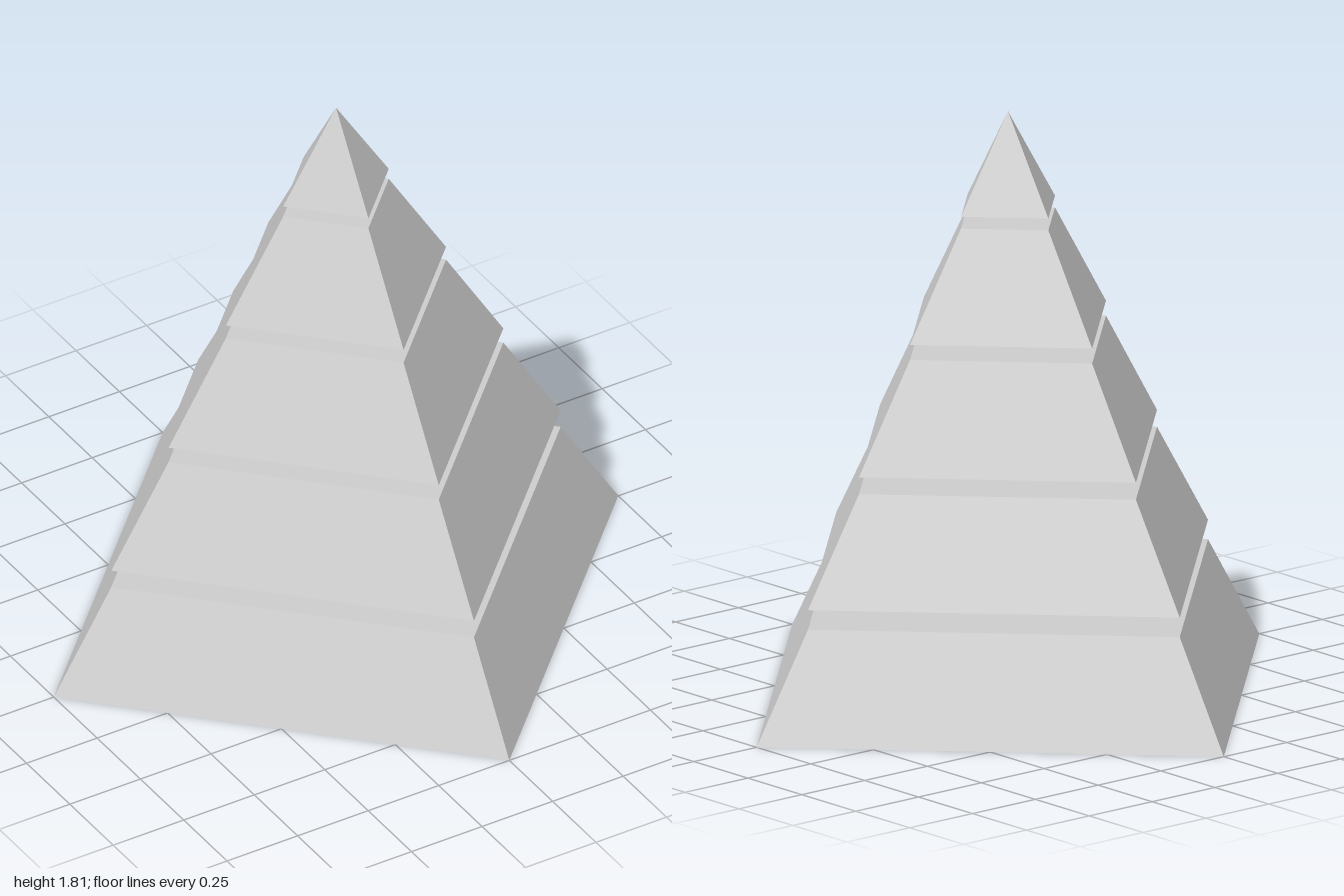
import * as THREE from 'three';

// Four-sided tiers, bottom to top: [name, base y, top y, base radius, top radius]
const TIERS = [
  ['baseTier', 0, 0.332, 1, 0.796],
  ['secondTier', 0.393, 0.72, 0.796, 0.593],
  ['thirdTier', 0.773, 1.104, 0.593, 0.39],
  ['fourthTier', 1.151, 1.479, 0.39, 0.187],
  ['capstone', 1.516, 1.813, 0.187, 0],
];

export function createModel() {
  const group = new THREE.Group();
  group.name = 'tieredPyramid';
  const material = new THREE.MeshStandardMaterial({ color: 0xcccccc, flatShading: true });

  // Each tier is a closed frustum with its corners on the x and z axes
  for (const [name, y0, y1, r0, r1] of TIERS) {
    const tier = new THREE.Mesh(new THREE.CylinderGeometry(r1, r0, y1 - y0, 4), material);
    tier.name = name;
    tier.position.y = (y0 + y1) / 2;
    group.add(tier);
  }
  return group;
}
